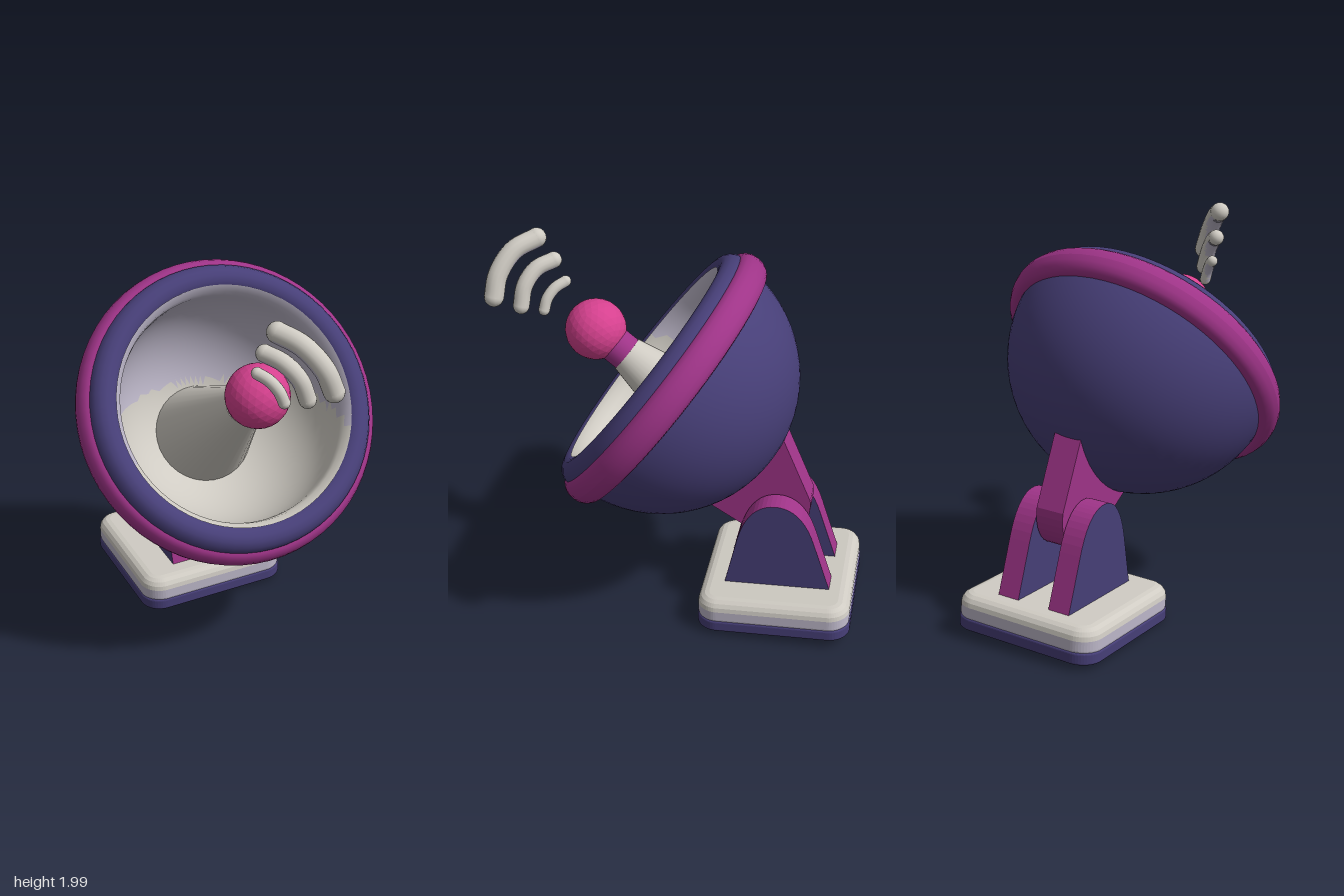
import * as THREE from 'three';

const mat = (name, color) => {
  const m = new THREE.MeshStandardMaterial({ color });
  m.name = name;
  return m;
};

// Splits the faces into two material groups; the second takes those passing the test
function twoTone(geometry, test) {
  const g = geometry.index ? geometry.toNonIndexed() : geometry;
  const { position, normal } = g.attributes;
  const first = [], second = [];
  const v = new THREE.Vector3();
  for (let i = 0; i < position.count; i += 3) {
    const c = new THREE.Vector3(), n = new THREE.Vector3();
    for (let k = i; k < i + 3; k++) {
      c.add(v.fromBufferAttribute(position, k));
      n.add(v.fromBufferAttribute(normal, k));
    }
    (test(c.divideScalar(3), n.normalize()) ? second : first).push(i, i + 1, i + 2);
  }
  g.setIndex([...first, ...second]);
  g.clearGroups();
  g.addGroup(0, first.length, 0);
  g.addGroup(first.length, second.length, 1);
  return g;
}

export function createModel() {
  const navy = mat('navy', 0x473f78);
  const magenta = mat('magenta', 0x9f3488);
  const pink = mat('pink', 0xd6418f);
  const grey = mat('warm grey', 0xcfcbc3);
  const lilac = mat('lilac grey', 0xbfb9cb);

  const model = new THREE.Group();
  model.name = 'satelliteDish';
  const UP = new THREE.Vector3(0, 1, 0);

  const add = (parent, name, geometry, material, y = 0) => {
    const mesh = new THREE.Mesh(geometry, material);
    mesh.name = name;
    mesh.position.y = y;
    parent.add(mesh);
    return mesh;
  };

  // Mount: slightly tilted, its x axis runs from back to front
  const mount = new THREE.Group();
  mount.name = 'mount';
  mount.position.set(-0.355, 0.03, -0.3);
  const tilt = new THREE.Quaternion().setFromUnitVectors(UP, new THREE.Vector3(0.013, 1, 0.047).normalize());
  const turn = new THREE.Quaternion().setFromAxisAngle(UP, THREE.MathUtils.degToRad(-38.5));
  mount.quaternion.copy(tilt).multiply(turn);
  model.add(mount);

  // Rounded slab lying flat, with bevelled edges
  const slab = (w, d, h, corner, bevel) => {
    const x = w / 2 - bevel, y = d / 2 - bevel, r = corner - bevel;
    const s = new THREE.Shape();
    s.absarc(x - r, y - r, r, 0, Math.PI / 2);
    s.absarc(-x + r, y - r, r, Math.PI / 2, Math.PI);
    s.absarc(-x + r, -y + r, r, Math.PI, Math.PI * 1.5);
    s.absarc(x - r, -y + r, r, Math.PI * 1.5, Math.PI * 2);
    const g = new THREE.ExtrudeGeometry(s, {
      depth: h - 2 * bevel, bevelSize: bevel, bevelThickness: bevel, bevelSegments: 4, curveSegments: 6,
    });
    return g.rotateX(-Math.PI / 2).translate(0, bevel, 0);
  };
  add(mount, 'baseFoot', slab(0.805, 0.825, 0.065, 0.11, 0.012), navy);
  const plate = twoTone(slab(0.797, 0.817, 0.17, 0.11, 0.06), (c) => c.y < 0.1);
  add(mount, 'basePlate', plate, [grey, lilac], 0.012);

  // Pair of arched brackets: navy faces, magenta edges
  const arch = new THREE.Shape();
  arch.moveTo(-0.285, 0);
  arch.lineTo(0.275, 0);
  arch.lineTo(0.2, 0.29);
  arch.bezierCurveTo(0.155, 0.45, 0.08, 0.505, 0, 0.505);
  arch.bezierCurveTo(-0.08, 0.505, -0.155, 0.45, -0.2, 0.29);
  const bracketGeometry = new THREE.ExtrudeGeometry(arch, { depth: 0.12, bevelEnabled: false, curveSegments: 10 });
  bracketGeometry.translate(0, 0, -0.06);
  for (const side of [-1, 1]) {
    const b = add(mount, side < 0 ? 'bracketBack' : 'bracketFront', bracketGeometry, [navy, magenta], 0.17);
    b.position.z = side * 0.15;
  }

  // Arm plate between the brackets, its top curved to end inside the bowl wall
  const armShape = new THREE.Shape();
  armShape.moveTo(-0.165, 0.64);
  armShape.bezierCurveTo(-0.18, 0.48, -0.06, 0.36, 0.14, 0.43);
  armShape.absarc(0.61, 1.26, 0.655, THREE.MathUtils.degToRad(255), THREE.MathUtils.degToRad(203), true);
  armShape.lineTo(-0.03, 0.99);
  const armGeometry = new THREE.ExtrudeGeometry(armShape, { depth: 0.155, bevelEnabled: false });
  add(mount, 'arm', armGeometry.translate(0, 0, -0.0775), magenta);

  // Dish: everything is turned around its own y axis
  const dish = new THREE.Group();
  dish.name = 'dish';
  dish.position.set(0.121, 1.272, 0.162);
  dish.quaternion.setFromUnitVectors(UP, new THREE.Vector3(0.603, 0.59, 0.537).normalize());
  model.add(dish);

  const lathe = (points) => new THREE.LatheGeometry(points, 64);
  const arc = (r, from, to, n = 18) => Array.from({ length: n + 1 }, (_, i) => {
    const a = from + (to - from) * i / n;
    return new THREE.Vector2(Math.max(0, r * Math.cos(a)), r * Math.sin(a));
  });
  const ring = (radius, y, a, b) => lathe(Array.from({ length: 17 }, (_, i) => {
    const t = i / 16 * Math.PI * 2;
    return new THREE.Vector2(radius + a * Math.cos(t), y + b * Math.sin(t));
  }));
  add(dish, 'bowlOutside', lathe(arc(0.705, -Math.PI / 2, 0)), navy);
  add(dish, 'rim', ring(0.65, 0.045, 0.075, 0.085), navy);
  add(dish, 'rimBand', ring(0.714, -0.015, 0.057, 0.083), magenta);

  // Inner bowl wraps over the inside of the rim; its upper part is lilac
  const inside = lathe([
    new THREE.Vector2(0.605, 0.12), new THREE.Vector2(0.578, 0.09), new THREE.Vector2(0.571, 0.05),
    ...arc(0.572, 0, -Math.PI / 2),
  ]);
  const isUpper = (c) => c.applyQuaternion(dish.quaternion).y + dish.position.y > 1.18;
  add(dish, 'bowlInside', twoTone(inside, isUpper), [grey, lilac]);

  // Feed horn with collar and ball, measured back from the ball centre
  const feed = new THREE.Group();
  feed.name = 'feedHorn';
  feed.position.set(0.376, 1.499, 0.391);
  feed.quaternion.setFromUnitVectors(UP, new THREE.Vector3(0.58, 0.597, 0.554).normalize());
  model.add(feed);
  add(feed, 'feedCone', new THREE.CylinderGeometry(0.095, 0.275, 0.8, 32), grey, -0.6);
  add(feed, 'collar', new THREE.CylinderGeometry(0.092, 0.092, 0.14, 24), magenta, -0.165);
  const ballGeometry = new THREE.IcosahedronGeometry(0.156, 4);
  ballGeometry.computeVertexNormals();
  add(feed, 'ball', ballGeometry, pink);

  // Signal waves: round-ended curved tubes with lilac undersides
  const waves = new THREE.Group();
  waves.name = 'signalWaves';
  model.add(waves);
  const isUnder = (c, n) => n.y < -0.35;
  const wave = (name, radius, points) => {
    const path = points.map((p) => new THREE.Vector3(...p));
    const curve = new THREE.CatmullRomCurve3(path);
    add(waves, name, twoTone(new THREE.TubeGeometry(curve, 20, radius, 14), isUnder), [grey, lilac]);
    for (const end of [path[0], path[path.length - 1]]) {
      add(waves, name + 'End', new THREE.SphereGeometry(radius, 14, 10), grey).position.copy(end);
    }
  };
  wave('smallWave', 0.029, [[0.453, 1.706, 0.573], [0.512, 1.682, 0.573], [0.56, 1.635, 0.568], [0.583, 1.58, 0.56]]);
  wave('mediumWave', 0.042, [[0.5, 1.824, 0.6], [0.593, 1.797, 0.603], [0.667, 1.725, 0.59], [0.7, 1.627, 0.572]]);
  wave('largeWave', 0.05, [[0.572, 1.95, 0.63], [0.695, 1.908, 0.632], [0.792, 1.808, 0.615], [0.832, 1.7, 0.592]]);

  return model;
}
